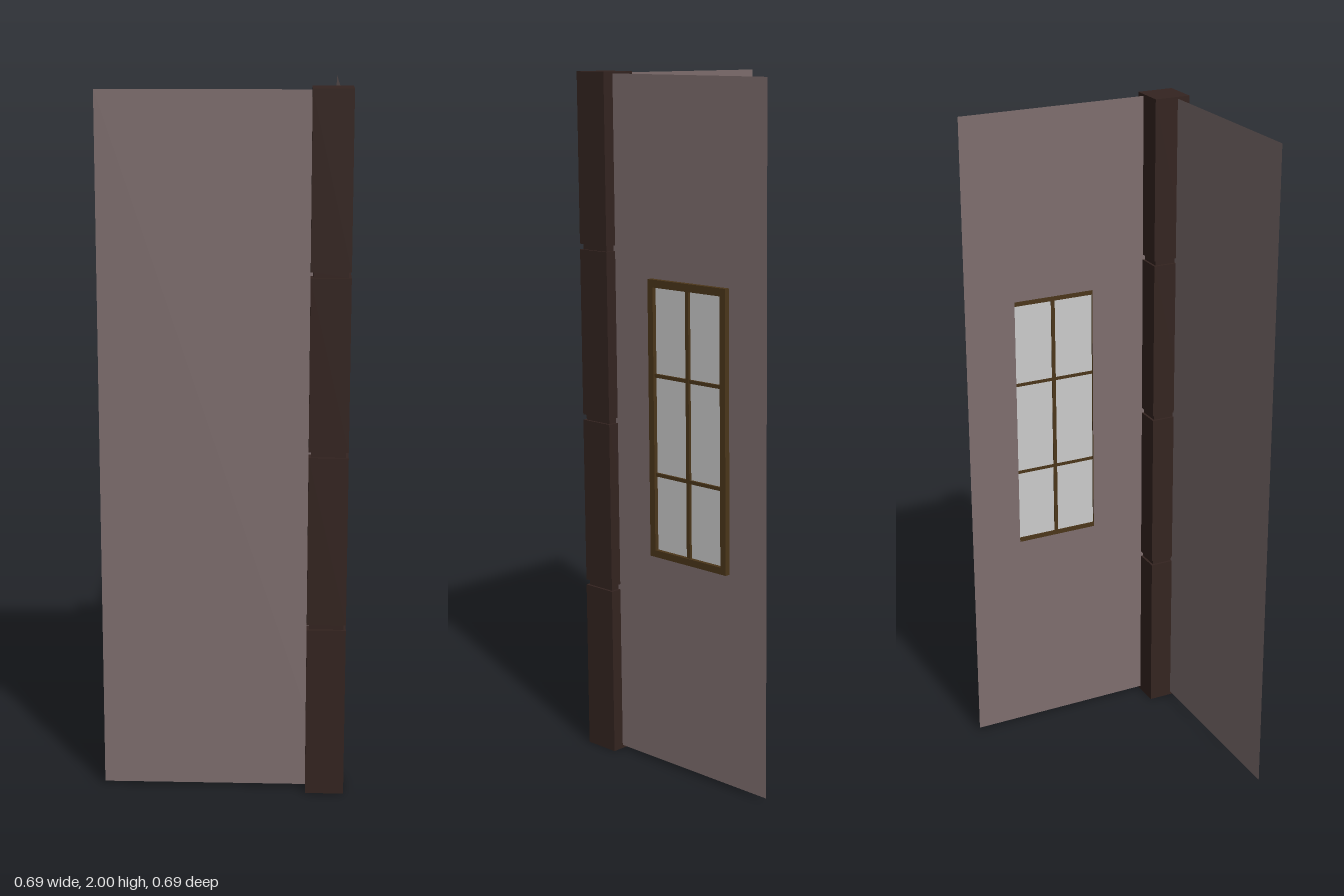
import * as THREE from 'three';

const mat = (color, extra = {}) => new THREE.MeshStandardMaterial({ color, ...extra });

// Rectangle path from corner to corner
function rect(Type, x0, y0, x1, y1) {
  const p = new Type();
  p.moveTo(x0, y0);
  p.lineTo(x1, y0);
  p.lineTo(x1, y1);
  p.lineTo(x0, y1);
  p.closePath();
  return p;
}

export function createModel() {
  const model = new THREE.Group();
  const wallMat = mat(0x7e6e6e, { side: THREE.DoubleSide });
  const pillarMat = mat(0x342420, { flatShading: true });
  const woodMat = mat(0x4b361a);
  const glassMat = mat(0xcccccc, { side: THREE.DoubleSide });

  const add = (parent, name, geometry, material) => {
    const mesh = new THREE.Mesh(geometry, material);
    mesh.name = name;
    parent.add(mesh);
    return mesh;
  };

  const bottom = 0.01, top = 1.995, wallX = 0.311, wallZ = 0.307;

  // Plain front wall
  const front = rect(THREE.Shape, -0.345, bottom, wallX, top);
  add(model, 'frontWall', new THREE.ShapeGeometry(front), wallMat).position.z = wallZ;

  // Side wall and window, drawn facing +z (u = -z) and turned to face +x
  const side = new THREE.Group();
  side.name = 'sideWallWithWindow';
  side.rotation.y = Math.PI / 2;
  model.add(side);

  const wall = rect(THREE.Shape, -wallZ, bottom, 0.345, top);
  wall.holes.push(rect(THREE.Path, -0.066, 0.643, 0.188, 1.428));
  add(side, 'sideWall', new THREE.ShapeGeometry(wall), wallMat).position.z = wallX;

  // Window frame
  const frame = rect(THREE.Shape, -0.086, 0.635, 0.21, 1.435);
  frame.holes.push(rect(THREE.Path, -0.066, 0.655, 0.19, 1.413));
  add(side, 'windowFrame', new THREE.ExtrudeGeometry(frame, { depth: 0.016, bevelEnabled: false }), woodMat)
    .position.z = 0.314;

  // Glass and glazing bars
  add(side, 'windowGlass', new THREE.PlaneGeometry(0.256, 0.758), glassMat).position.set(0.062, 1.034, 0.318);
  add(side, 'verticalBar', new THREE.BoxGeometry(0.012, 0.758, 0.01), woodMat).position.set(0.062, 1.034, 0.321);
  for (const y of [0.877, 1.163]) {
    add(side, 'horizontalBar', new THREE.BoxGeometry(0.256, 0.01, 0.008), woodMat).position.set(0.062, y, 0.321);
  }

  // Square corner pillar with three shallow grooves, open underneath
  const half = 0.055, inset = 0.048, grooveHalf = 0.008;
  const profile = [[half, 0]];
  for (const y of [0.506, 1.008, 1.507]) {
    profile.push([half, y - grooveHalf], [inset, y - grooveHalf], [inset, y + grooveHalf], [half, y + grooveHalf]);
  }
  profile.push([half, 2], [0, 2]);
  const points = profile.map(([r, y]) => new THREE.Vector2(r * Math.SQRT2, y));
  add(model, 'cornerPillar', new THREE.LatheGeometry(points, 4, Math.PI / 4), pillarMat)
    .position.set(0.29, 0, 0.29);

  return model;
}
